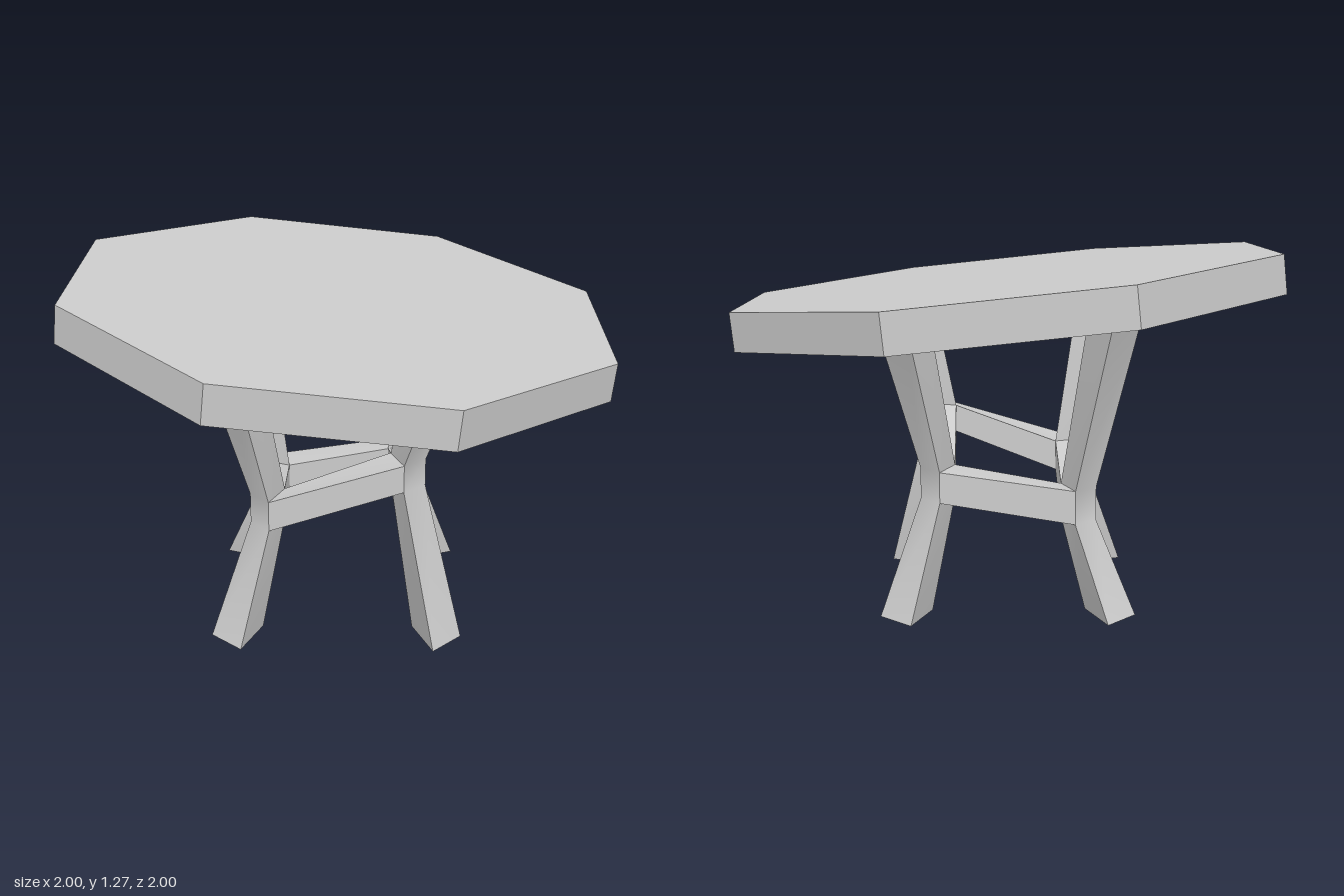
import * as THREE from 'three';
import { toCreasedNormals } from 'three/addons/utils/BufferGeometryUtils.js';

// Skin between successive closed cross-sections (lists of [x, y, z])
function loft(sections, crease) {
  const pos = [];
  for (let s = 0; s + 1 < sections.length; s++) {
    const lo = sections[s], hi = sections[s + 1], n = lo.length;
    for (let j = 0; j < n; j++) {
      const k = (j + 1) % n;
      pos.push(...lo[k], ...lo[j], ...hi[j], ...lo[k], ...hi[j], ...hi[k]);
    }
  }
  const g = new THREE.BufferGeometry();
  g.setAttribute('position', new THREE.Float32BufferAttribute(pos, 3));
  return toCreasedNormals(g, crease);
}

// Plan point [x, z] lifted to height y, after a number of quarter turns
function place([x, z], turns, y) {
  for (let i = 0; i < turns; i++) [x, z] = [z, -x];
  return [x, y, z];
}

export function createModel() {
  const group = new THREE.Group();
  const material = new THREE.MeshStandardMaterial({ color: 0xcccccc, side: THREE.DoubleSide });
  const add = (parent, name, geometry) => {
    const mesh = new THREE.Mesh(geometry, material);
    mesh.name = name;
    parent.add(mesh);
    return mesh;
  };

  // Tilted eight-sided tabletop: a flat top with a rim, hollow underneath
  const radius = 1.004, thickness = 0.135, start = THREE.MathUtils.degToRad(6.3);
  const tabletop = new THREE.Group();
  tabletop.name = 'tabletop';
  tabletop.position.y = 1.096;
  tabletop.quaternion.setFromUnitVectors(
    new THREE.Vector3(0, 1, 0), new THREE.Vector3(0.0915, 1, 0.0575).normalize());
  group.add(tabletop);
  add(tabletop, 'rim', toCreasedNormals(
    new THREE.CylinderGeometry(radius, radius, thickness, 8, 1, true, start), 0.3));
  const surface = add(tabletop, 'topSurface',
    new THREE.CircleGeometry(radius, 8, start - Math.PI / 2).rotateX(-Math.PI / 2));
  surface.position.y = thickness / 2;

  // Triangular leg section in plan: two outer corners and the inner ridge
  const foot = [[0.335, 0.447], [0.205, 0.525], [0.188, 0.333]];
  const knee = [[0.233, 0.315], [0.14, 0.36], [0.13, 0.232]];
  const legTop = 1.03;

  // Lower and upper heights of each knee
  const legs = [
    { name: 'frontLeg', low: 0.55, high: 0.65 },
    { name: 'leftLeg', low: 0.40, high: 0.51 },
    { name: 'backLeg', low: 0.32, high: 0.44 },
    { name: 'rightLeg', low: 0.40, high: 0.51 },
  ];

  legs.forEach((leg, i) => {
    // Bent leg, open at both ends
    const section = (plan, y) => plan.map(p => place(p, i, y));
    add(group, leg.name, loft([
      section(foot, 0), section(knee, leg.low), section(knee, leg.high), section(foot, legTop),
    ], 0.6));

    // Stretcher to the next leg's knee
    const n = (i + 1) % 4;
    const end = (turns, outer, { low, high }) => [
      place(knee[outer], turns, high), place(knee[2], turns, high),
      place(knee[2], turns, low), place(knee[outer], turns, low),
    ];
    add(group, 'stretcher' + (i + 1), loft([end(i, 0, leg), end(n, 1, legs[n])], 0.3));
  });

  return group;
}
